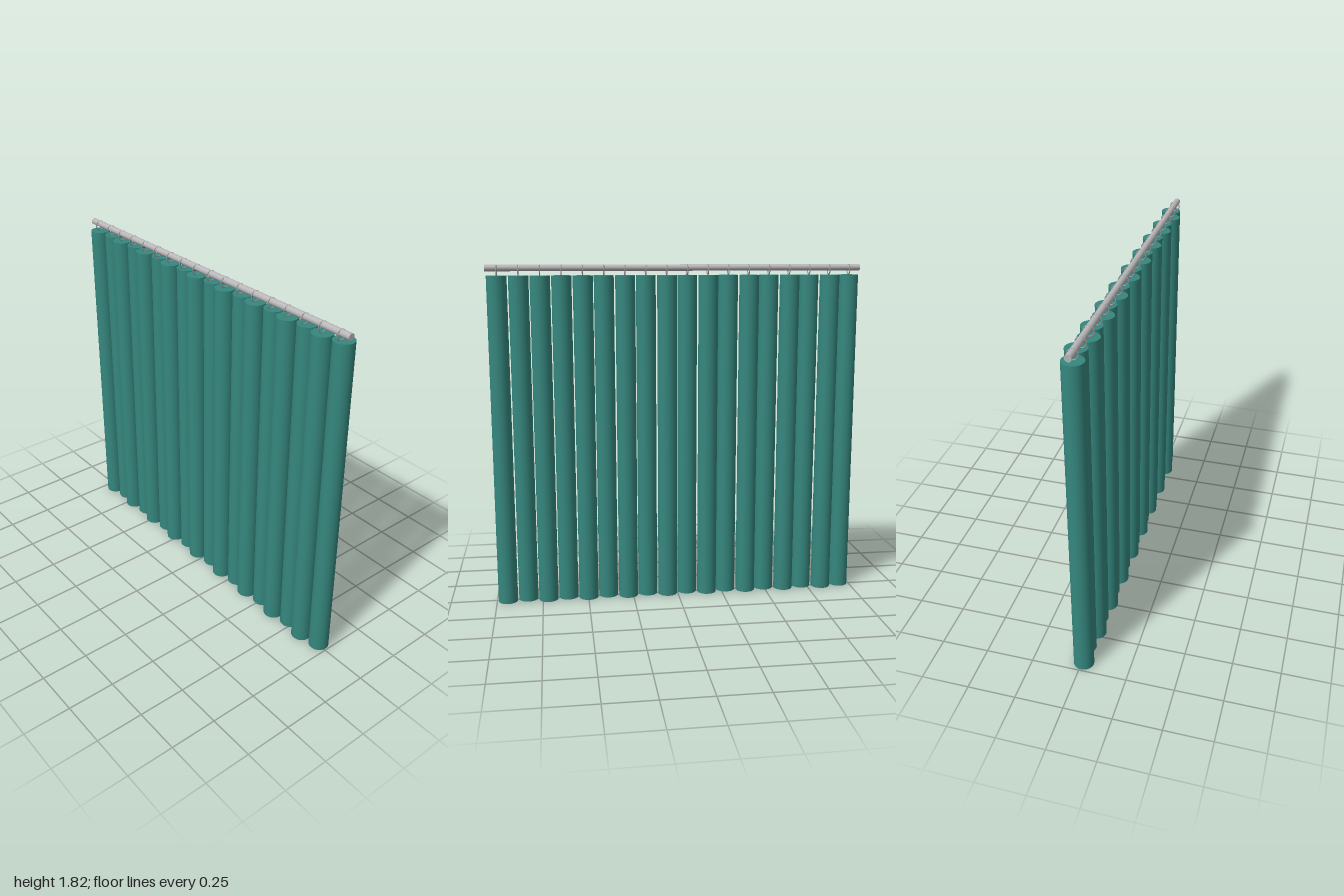
import * as THREE from 'three';

export function createModel() {
  const group = new THREE.Group();
  const fabric = new THREE.MeshStandardMaterial({ color: 0x35877e });
  fabric.name = 'teal fabric';
  const metal = new THREE.MeshStandardMaterial({ color: 0xb8b6b8 });
  metal.name = 'rod metal';
  const ringMetal = new THREE.MeshStandardMaterial({ color: 0x9c9494 });
  ringMetal.name = 'ring metal';

  const count = 18, spacing = 0.1106, height = 1.765, radius = 0.0525, rodZ = 0.011;

  const add = (name, geometry, material, x, y, z) => {
    const mesh = new THREE.Mesh(geometry, material);
    mesh.name = name;
    mesh.position.set(x, y, z);
    group.add(mesh);
  };

  // Horizontal rod
  const rod = new THREE.CylinderGeometry(0.017, 0.017, 2, 24).rotateZ(Math.PI / 2);
  add('rod', rod, metal, 0, 1.804, rodZ);

  // Hanging folds, alternately forward and back, each with a ring around the rod
  const fold = new THREE.CylinderGeometry(radius, radius, height, 32);
  const ring = new THREE.TorusGeometry(0.0255, 0.003, 8, 28).rotateY(Math.PI / 2);
  for (let i = 0; i < count; i++) {
    const x = (i - (count - 1) / 2) * spacing;
    add('curtainFold', fold, fabric, x, height / 2, i % 2 ? -0.0105 : 0.0105);
    add('curtainRing', ring, ringMetal, x, 1.793, rodZ);
  }
  return group;
}
